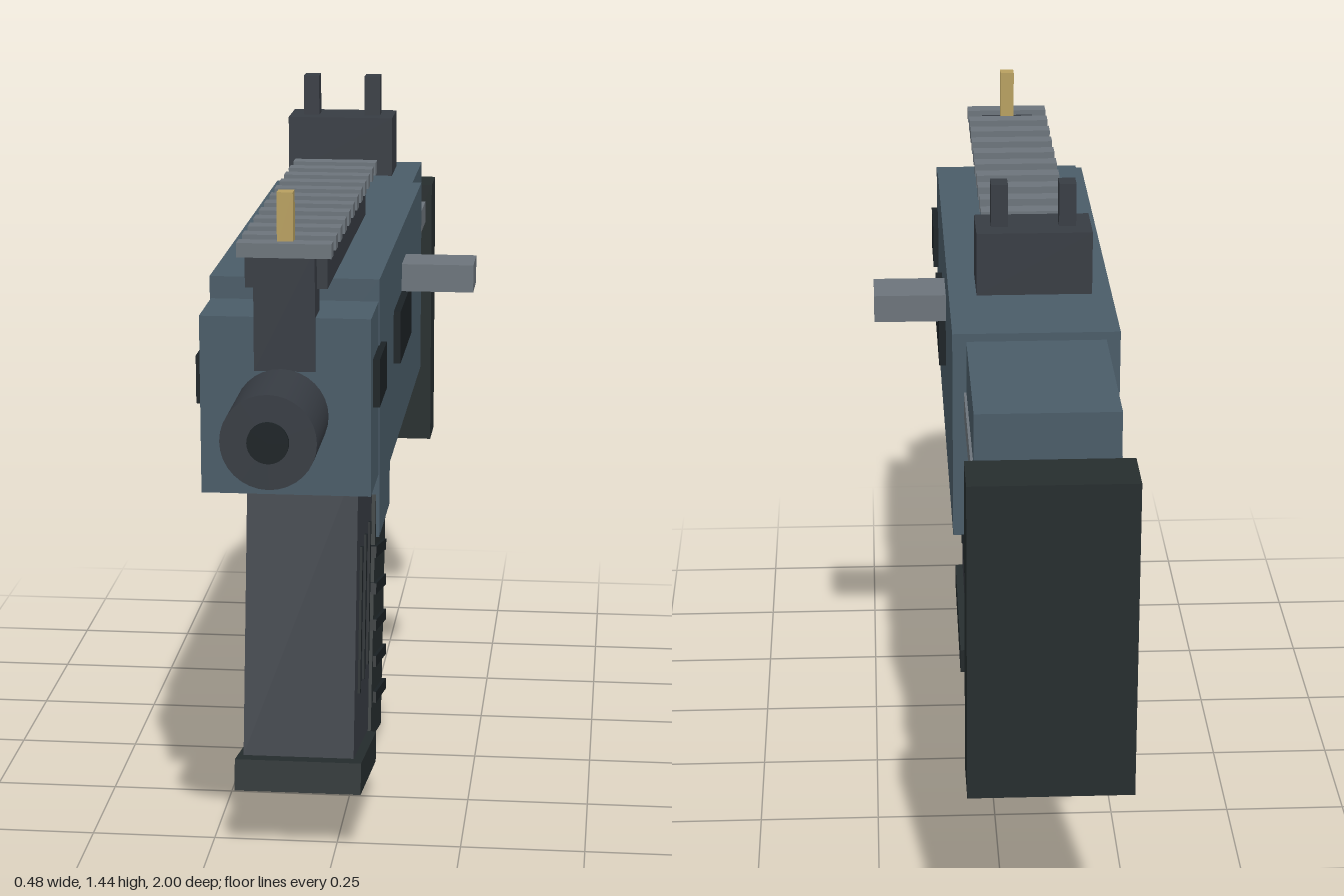
import * as THREE from 'three';

const CX = -0.07; // centre plane of the weapon body
const mat = (color) => new THREE.MeshStandardMaterial({ color });
const BLUE = mat(0x4a5c68), GUN = mat(0x373c43), BLACK = mat(0x262d2e);
const GREY = mat(0x6c747b), GOLD = mat(0xb8a060), VOID = mat(0x1b2225);

export function createModel() {
  const model = new THREE.Group();
  model.name = 'compactGun';

  const add = (name, geometry, material, x, y, z, tilt = 0) => {
    const mesh = new THREE.Mesh(geometry, material);
    mesh.name = name;
    mesh.position.set(x, y, z);
    mesh.rotation.x = tilt;
    model.add(mesh);
    return mesh;
  };
  // Box given by its extents on each axis
  const span = (name, material, [x0, x1], [y0, y1], [z0, z1]) =>
    add(name, new THREE.BoxGeometry(x1 - x0, y1 - y0, z1 - z0), material,
      (x0 + x1) / 2, (y0 + y1) / 2, (z0 + z1) / 2);
  // Box centred on the body plane, optionally tilted
  const block = (name, material, w, h, d, y, z, tilt = 0) =>
    add(name, new THREE.BoxGeometry(w, h, d), material, CX, y, z, tilt);
  // Cylinder lying along z
  const tube = (name, material, r, z0, z1) => {
    const g = new THREE.CylinderGeometry(r, r, z1 - z0, 32);
    g.rotateX(Math.PI / 2);
    return add(name, g, material, CX, 0.97, (z0 + z1) / 2);
  };

  // Receiver and fore-end
  span('receiver', BLUE, [-0.232, 0.092], [0.76, 1.183], [-0.46, 0.585]);
  span('foreEnd', BLUE, [-0.23, 0.09], [0.8, 1.14], [0.58, 0.737]);
  span('rearHousing', BLUE, [-0.205, 0.065], [0.985, 1.167], [-0.825, -0.455]);

  // Side openings and charging handle
  span('ejectionPort', VOID, [0.08, 0.106], [0.943, 1.05], [-0.012, 0.267]);
  span('frontVents', VOID, [-0.243, 0.103], [0.963, 1.055], [0.55, 0.7]);
  span('chargingHandle', GREY, [0.06, 0.24], [1.05, 1.107], [-0.033, 0.073]);

  // Barrel
  tube('barrel', GUN, 0.0625, 0.6, 0.81);
  tube('muzzle', GUN, 0.0875, 0.8, 0.993);
  tube('bore', VOID, 0.038, 0.9, 1.0);

  // Top rail with cross teeth
  span('rail', GUN, [-0.147, 0.007], [1.19, 1.255], [-0.03, 0.713]);
  for (let i = 0; i < 12; i++)
    block('railTooth', GREY, 0.176, 0.027, 0.037, 1.267, 0.73 - i * 0.0809);

  // Sights
  span('frontSightBase', GUN, [-0.127, -0.013], [1.04, 1.27], [0.667, 0.747]);
  span('frontSightBlade', GOLD, [-0.085, -0.055], [1.27, 1.372], [0.697, 0.727]);
  span('rearSightBase', GUN, [-0.182, 0.042], [1.232, 1.357], [-0.38, -0.263]);
  for (const side of [-1, 1])
    add('rearSightPost', new THREE.BoxGeometry(0.033, 0.09, 0.04), GUN,
      CX + side * 0.066, 1.397, -0.32);

  // Stock
  span('stockTube', GUN, [-0.157, 0.017], [0.8, 0.975], [-0.89, -0.455]);
  for (const side of [-1, 1])
    add('stockRod', new THREE.BoxGeometry(0.05, 0.05, 0.43), GREY,
      CX + side * 0.115, 1.037, -0.672);
  span('buttPlate', BLACK, [-0.225, 0.085], [0.475, 1.102], [-1.0, -0.885]);

  // Magazine with side grooves and base plate
  const magTilt = -THREE.MathUtils.degToRad(10);
  block('magazine', GUN, 0.22, 0.6, 0.308, 0.476, 0.361, magTilt);
  block('magazineBase', BLACK, 0.252, 0.063, 0.337, 0.142, 0.416, magTilt);
  for (const i of [-1, 0, 1])
    block('magazineGroove', VOID, 0.23, 0.295, 0.019, 0.458, 0.36 + i * 0.086, magTilt);

  // Pistol grip with ribs
  const gripTilt = -THREE.MathUtils.degToRad(13);
  span('gripMount', BLUE, [CX - 0.105, CX + 0.105], [0.478, 0.77], [-0.315, -0.053]);
  block('grip', BLACK, 0.196, 0.54, 0.255, 0.292, -0.114, gripTilt);
  for (let i = 0; i < 5; i++)
    block('gripRib', VOID, 0.21, 0.024, 0.252, 0.437 - i * 0.0825, -0.105, gripTilt);

  return model;
}
